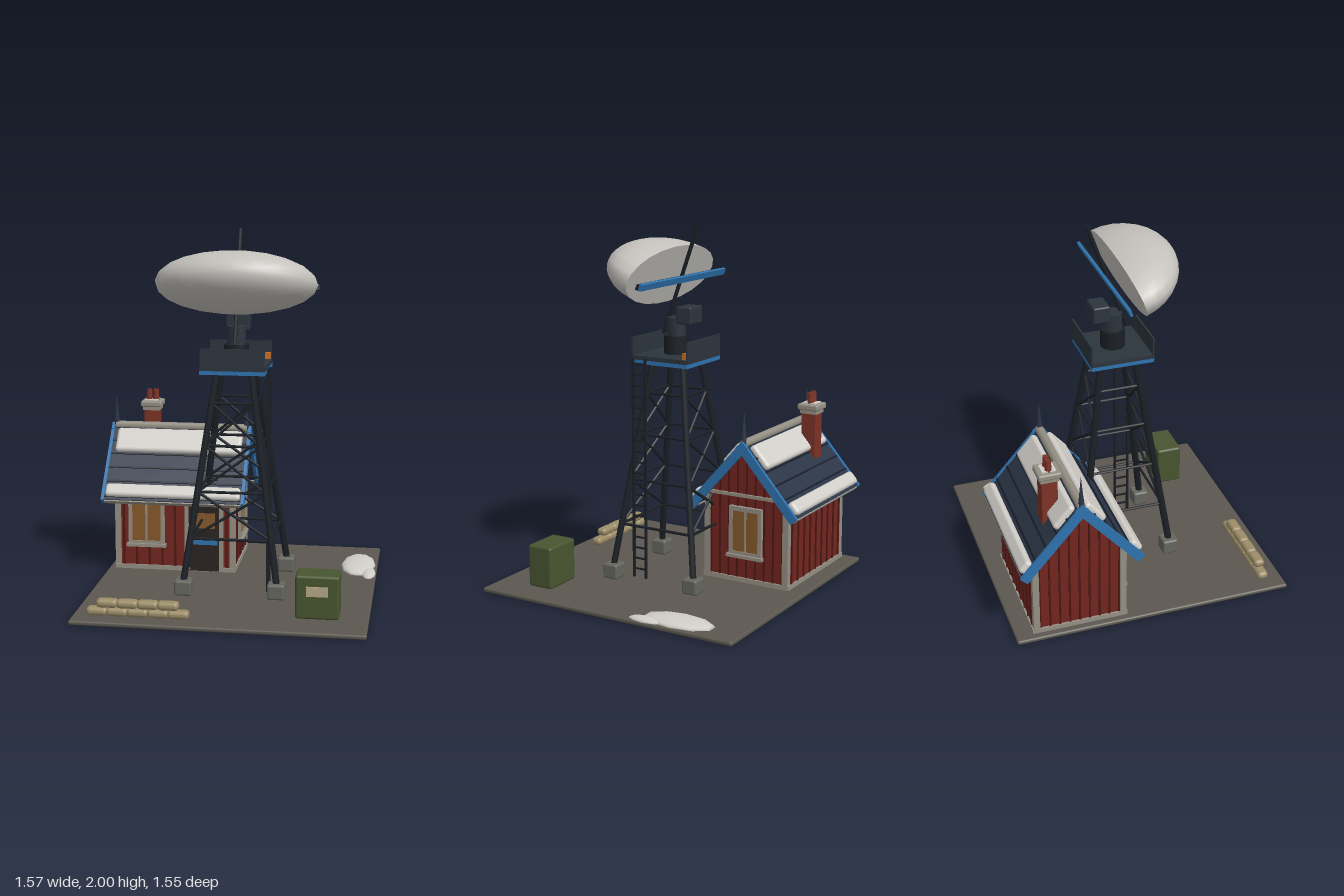
import * as THREE from 'three';
import { RoundedBoxGeometry } from 'three/addons/geometries/RoundedBoxGeometry.js';

const C = {
  ground: 0x5c5850, red: 0x74251f, batten: 0x4e1815, trim: 0x959084, navy: 0x2b3547, seam: 0x181e2a,
  blue: 0x2f74b0, snow: 0xd2cfca, brick: 0x7d3326, glass: 0x86592a, door: 0x2a2420, iron: 0x1b2026,
  panel: 0x2c343d, stone: 0x66665f, green: 0x485530, sand: 0x9c8d68, orange: 0xc8702a, dish: 0xc4c1bc, label: 0xb5a888,
};
const mats = {};
const mat = (c) => (mats[c] ??= new THREE.MeshStandardMaterial({ color: C[c] }));

function add(parent, name, geo, color, x = 0, y = 0, z = 0) {
  const m = new THREE.Mesh(geo, mat(color));
  m.name = name;
  m.position.set(x, y, z);
  parent.add(m);
  return m;
}
const box = (p, name, color, w, h, d, x, y, z) => add(p, name, new THREE.BoxGeometry(w, h, d), color, x, y, z);
const soft = (p, name, color, w, h, d, x, y, z, r) => add(p, name, new RoundedBoxGeometry(w, h, d, 2, r), color, x, y, z);

function group(parent, name, x = 0, y = 0, z = 0) {
  const g = new THREE.Group();
  g.name = name;
  g.position.set(x, y, z);
  parent.add(g);
  return g;
}

// Round bar between two points
function beam(p, name, color, a, b, r, sides = 6) {
  const A = new THREE.Vector3(...a), B = new THREE.Vector3(...b), d = B.clone().sub(A);
  const m = add(p, name, new THREE.CylinderGeometry(r, r, d.length(), sides), color);
  m.position.copy(A).add(B).multiplyScalar(0.5);
  m.quaternion.setFromUnitVectors(new THREE.Vector3(0, 1, 0), d.normalize());
  return m;
}

// Framed window that faces its own +z
function windowUnit(parent, name, w, h, x, y, z) {
  const g = group(parent, name, x, y, z);
  box(g, 'pane', 'glass', w - 0.03, h - 0.03, 0.02, 0, 0, 0);
  for (const s of [-1, 1]) {
    box(g, 'frameSide', 'trim', 0.022, h, 0.03, s * (w / 2 - 0.011), 0, 0);
    box(g, 'frameBar', 'trim', w, 0.025, 0.03, 0, s * (h / 2 - 0.0125), 0);
  }
  box(g, 'mullion', 'trim', 0.012, h, 0.026, 0, 0, 0);
  box(g, 'sill', 'trim', w + 0.02, 0.018, 0.05, 0, -h / 2, 0.005);
  return g;
}

function buildHouse(root) {
  const W = 0.35, D = 0.255, EAVE = 0.5, SLOPE = 1.15, TOP = EAVE + D * SLOPE;
  const g = group(root, 'house', -0.37, 0, -0.42);

  // Gabled walls
  const s = new THREE.Shape([[-D, 0.03], [D, 0.03], [D, EAVE], [0, TOP], [-D, EAVE]].map((p) => new THREE.Vector2(...p)));
  const walls = new THREE.ExtrudeGeometry(s, { depth: 2 * W - 0.02, bevelEnabled: false });
  walls.translate(0, 0, -W + 0.01).rotateY(Math.PI / 2);
  add(g, 'walls', walls, 'red');

  // Battens, corner boards and skirting
  for (const k of [-1, 1]) {
    for (let i = -4; i <= 4; i++) {
      box(g, 'batten', 'batten', 0.012, 0.45, 0.012, i * 0.075, 0.255, k * D);
      const u = i * 0.055, h = EAVE + (D - Math.abs(u)) * SLOPE - 0.03;
      box(g, 'gableBatten', 'batten', 0.012, h, 0.01, k * (W - 0.01), 0.03 + h / 2, u);
    }
    for (const j of [-1, 1]) box(g, 'cornerBoard', 'trim', 0.035, 0.47, 0.035, k * (W - 0.016), 0.265, j * (D - 0.014));
    box(g, 'skirting', 'trim', 2 * W, 0.025, 0.02, 0, 0.04, k * D);
    box(g, 'sideSkirting', 'trim', 0.02, 0.025, 2 * D, k * (W - 0.008), 0.04, 0);
  }
  box(g, 'gableBand', 'trim', 0.02, 0.018, 2 * D, W - 0.006, 0.522, 0);

  // Openings
  windowUnit(g, 'frontWindow', 0.21, 0.27, -0.165, 0.31, D + 0.003);
  const side = windowUnit(g, 'sideWindow', 0.2, 0.28, W - 0.003, 0.32, 0);
  side.rotation.y = Math.PI / 2;
  const door = group(g, 'door', 0.17, 0.03, D);
  box(door, 'leaf', 'door', 0.18, 0.4, 0.02, 0, 0.2, 0);
  box(door, 'doorPane', 'glass', 0.13, 0.09, 0.026, 0, 0.3, 0);
  box(door, 'doorStripe', 'blue', 0.16, 0.035, 0.028, 0, 0.175, 0);
  for (const k of [-1, 1]) box(door, 'jamb', 'trim', 0.024, 0.4, 0.03, k * 0.1, 0.2, 0);
  box(door, 'lintel', 'trim', 0.22, 0.024, 0.03, 0, 0.41, 0);

  // Two mirrored roof slopes, z running down from the ridge
  const L = 0.5;
  for (const turn of [0, Math.PI]) {
    const half = group(g, 'roofSide', -0.005, 0.83, 0);
    half.rotation.y = turn;
    const r = group(half, 'roofSlope');
    r.rotation.x = Math.atan(SLOPE);
    box(r, 'roofPanel', 'navy', 0.79, 0.03, L, 0, -0.015, L / 2);
    for (const t of [0.02, 0.11, 0.2, 0.29, 0.38, 0.48]) box(r, 'roofSeam', 'seam', 0.79, 0.012, 0.01, 0, 0, t);
    soft(r, 'upperSnow', 'snow', 0.74, 0.045, 0.155, 0, 0.008, 0.115, 0.02);
    soft(r, 'eaveSnow', 'snow', 0.78, 0.045, 0.08, 0, 0.008, 0.445, 0.02);
    box(r, 'eaveBoard', 'trim', 0.79, 0.03, 0.014, 0, -0.022, L);
    for (const k of [-1, 1]) box(r, 'bargeBoard', 'blue', 0.018, 0.05, L + 0.01, k * 0.404, -0.018, L / 2);
  }
  const ridge = add(g, 'ridgeSnow', new THREE.CylinderGeometry(0.025, 0.025, 0.78, 8), 'trim', -0.005, 0.822, 0);
  ridge.rotation.z = Math.PI / 2;
  for (const k of [-1, 1]) {
    add(g, 'finial', new THREE.ConeGeometry(0.018, 0.18, 6), 'navy', -0.005 + k * 0.385, 0.91, 0);
  }

  // Chimney
  const c = group(g, 'chimney', -0.2, 0, -0.122);
  box(c, 'stack', 'brick', 0.085, 0.3, 0.085, 0, 0.77, 0);
  box(c, 'collar', 'trim', 0.1, 0.02, 0.1, 0, 0.91, 0);
  soft(c, 'chimneyCap', 'trim', 0.125, 0.035, 0.125, 0, 0.938, 0, 0.01);
  box(c, 'capSnow', 'snow', 0.075, 0.01, 0.075, 0, 0.957, 0);
  for (const k of [-1, 1]) add(c, 'chimneyPot', new THREE.CylinderGeometry(0.016, 0.02, 0.07, 8), 'brick', k * 0.02, 0.985, 0);
}

function buildTower(root) {
  const g = group(root, 'tower', 0.012, 0, 0);
  const half = (y) => 0.262 - ((y - 0.06) / 1.18) * 0.167;
  const levels = [0.335, 0.59, 0.84, 1.07];

  // Legs on footings
  for (const i of [-1, 1]) for (const j of [-1, 1]) {
    soft(g, 'footing', 'stone', 0.095, 0.085, 0.09, i * 0.255, 0.07, j * 0.255, 0.012);
    const b = half(0.06), t = half(1.24);
    beam(g, 'leg', 'iron', [i * b, 0.06, j * b], [i * t, 1.24, j * t], 0.02, 6);
  }
  // Horizontal rails on all sides, crossed braces front and back
  for (const k of [-1, 1]) levels.forEach((y, n) => {
    const h = half(y);
    beam(g, 'rail', 'iron', [-h, y, k * h], [h, y, k * h], 0.008);
    beam(g, 'sideRail', 'iron', [k * h, y, -h], [k * h, y, h], 0.008);
    if (n === levels.length - 1) return;
    const y2 = levels[n + 1], h2 = half(y2);
    for (const s of [-1, 1]) beam(g, 'crossBrace', 'iron', [-s * h, y, k * h], [s * h2, y2, k * h2], 0.008);
  });

  // Ladder
  for (const z of [0.16, 0.083]) box(g, 'ladderRail', 'iron', 0.014, 1.24, 0.012, 0.195, 0.65, z);
  for (let i = 0; i < 20; i++) box(g, 'rung', 'iron', 0.009, 0.009, 0.077, 0.195, 0.08 + i * 0.061, 0.122);

  // Platform with guard panels
  box(g, 'platformFrame', 'blue', 0.355, 0.022, 0.35, 0, 1.246, 0.005);
  box(g, 'deck', 'panel', 0.355, 0.024, 0.35, 0, 1.268, 0.005);
  for (const z of [0.177, -0.167]) box(g, 'guardPanel', 'panel', 0.35, 0.1, 0.01, 0, 1.327, z);
  box(g, 'warningLamp', 'orange', 0.03, 0.035, 0.03, 0.155, 1.297, -0.15);

  // Turntable and drive
  add(g, 'turntable', new THREE.CylinderGeometry(0.068, 0.068, 0.1, 12), 'iron', 0, 1.33, 0.003);
  add(g, 'mount', new THREE.CylinderGeometry(0.053, 0.053, 0.1, 10), 'panel', 0, 1.43, 0.003);
  soft(g, 'driveBox', 'panel', 0.13, 0.095, 0.095, 0, 1.498, -0.077, 0.01);
}

function buildDish(root) {
  const g = group(root, 'antenna', 0.014, 0, 0);
  beam(g, 'mast', 'iron', [0, 1.385, 0.083], [0, 1.997, -0.137], 0.011, 8);
  const bar = group(g, 'crossBar', 0, 1.69, -0.036);
  bar.rotation.x = -0.35;
  box(bar, 'barFace', 'blue', 0.88, 0.036, 0.016, 0, 0.002, -0.008);
  box(bar, 'barBacking', 'iron', 0.89, 0.03, 0.014, 0, -0.002, 0.006);

  // Half ellipsoid closed by a flat back
  const d = group(g, 'dish', 0, 1.71, 0.033);
  d.rotation.x = -0.35;
  d.scale.set(0.443, 0.168, 0.313);
  add(d, 'shell', new THREE.SphereGeometry(1, 22, 8, 0, Math.PI * 2, 0, Math.PI / 2).rotateX(Math.PI / 2), 'dish');
  add(d, 'backFace', new THREE.CircleGeometry(1, 22).rotateY(Math.PI), 'dish');
}

function buildYard(root) {
  soft(root, 'ground', 'ground', 1.545, 0.025, 1.55, 0.012, 0.0145, -0.003, 0.01);

  // Supply crate
  const c = group(root, 'crate', 0.516, 0, 0.5);
  soft(c, 'crateBody', 'green', 0.23, 0.235, 0.15, 0, 0.145, 0, 0.014);
  box(c, 'crateLabel', 'label', 0.112, 0.052, 0.02, 0, 0.18, 0.073);

  // Two staggered rows of sandbags
  const bags = group(root, 'sandbags', -0.413, 0, 0.66);
  [5, 4].forEach((n, row) => {
    for (let i = 0; i < n; i++) {
      soft(bags, 'sandbag', 'sand', 0.115, 0.046, 0.062, (i - (n - 1) / 2) * 0.108, 0.052 + row * 0.045, 0, 0.021);
    }
  });

  // Low snow drifts
  for (const [x, z, rx, h, rz] of [[0.675, -0.41, 0.1, 0.03, 0.21], [0.742, -0.255, 0.04, 0.02, 0.105]]) {
    const m = add(root, 'snowDrift', new THREE.SphereGeometry(1, 10, 4, 0, Math.PI * 2, 0, Math.PI / 2), 'snow', x, 0.026, z);
    m.scale.set(rx, h, rz);
  }
}

export function createModel() {
  const root = new THREE.Group();
  root.name = 'radarOutpost';
  buildYard(root);
  buildHouse(root);
  buildTower(root);
  buildDish(root);
  return root;
}
